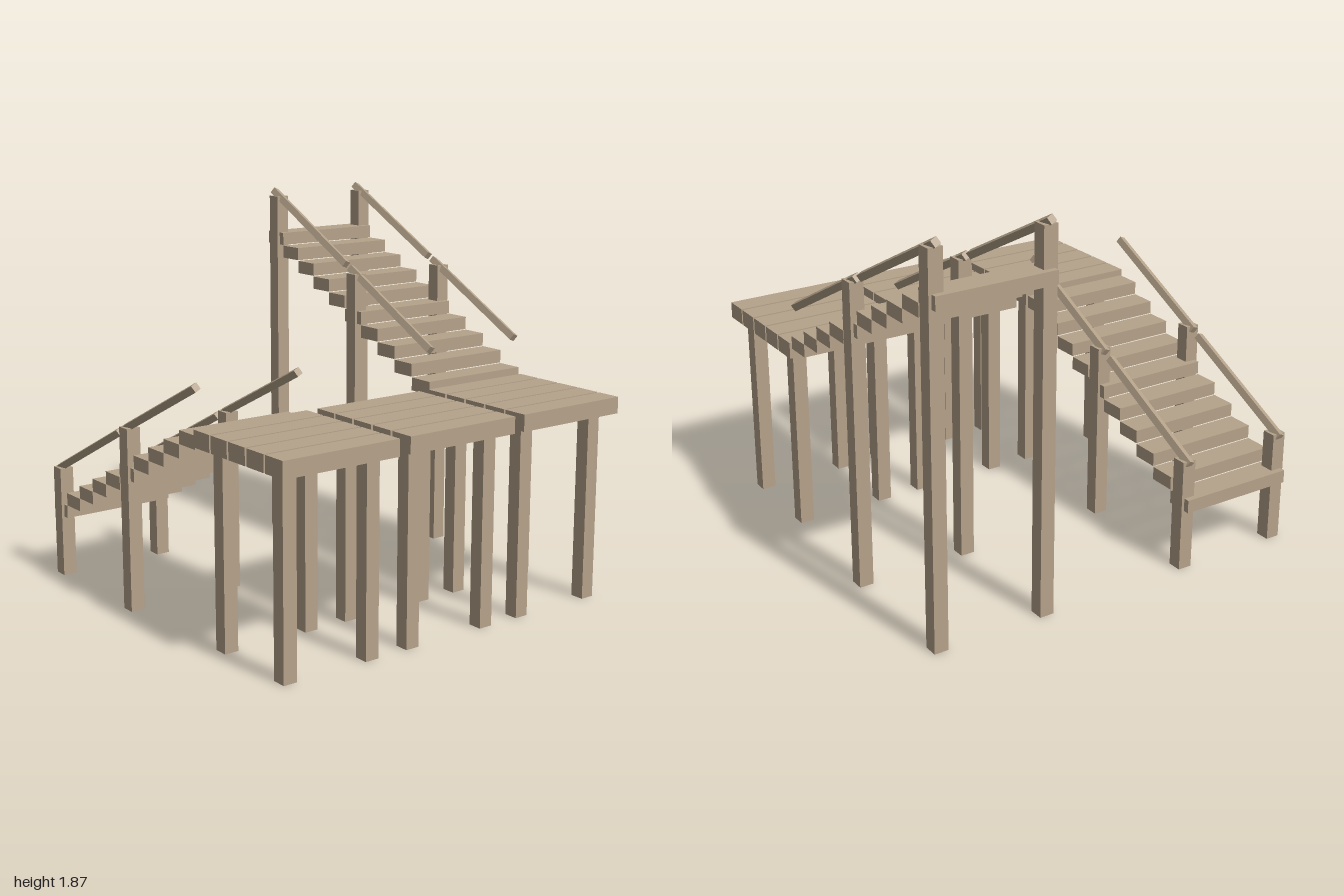
import * as THREE from 'three';

export function createModel() {
  const model = new THREE.Group();
  model.name = 'deckWithStairs';
  const wood = new THREE.MeshStandardMaterial({ color: 0xb5a28a });
  wood.name = 'weathered wood';

  const addBox = (parent, name, size, position) => {
    const mesh = new THREE.Mesh(new THREE.BoxGeometry(...size), wood);
    mesh.name = name;
    mesh.position.set(...position);
    parent.add(mesh);
    return mesh;
  };

  // Upright standing on the ground
  const addPost = (parent, name, x, z, height) =>
    addBox(parent, name, [0.07, height, 0.07], [x, height / 2, z]);

  // Deck section: five planks on four posts
  const addDeck = (name, x) => {
    const deck = new THREE.Group();
    deck.name = name;
    for (let i = 0; i < 5; i++) {
      addBox(deck, 'deckPlank', [0.61, 0.08, 0.123], [x, 0.96, 0.9385 - i * 0.1347]);
    }
    for (const side of [-1, 1]) {
      for (const z of [0.893, 0.45]) addPost(deck, 'deckPost', x + side * 0.22, z, 0.92);
    }
    model.add(deck);
  };
  addDeck('rightDeck', -0.67);
  addDeck('middleDeck', 0);
  addDeck('leftDeck', 0.667);

  // Handrail between two [z, y] points, with the square section rolled
  const addRail = (parent, x, [z0, y0], [z1, y1], roll) => {
    const length = Math.hypot(z1 - z0, y1 - y0);
    const rail = addBox(parent, 'handrail', [0.034, 0.034, length], [x, (y0 + y1) / 2, (z0 + z1) / 2]);
    rail.rotation.set(Math.atan2(y1 - y0, z0 - z1), 0, roll);
  };

  // Flight of ten treads with two pairs of posts and split handrails
  const addStairs = (name, x, firstTop, rise, posts, rails, roll) => {
    const stairs = new THREE.Group();
    stairs.name = name;
    for (let i = 0; i < 10; i++) {
      addBox(stairs, 'tread', [0.59, 0.064, 0.131],
        [x, firstTop - 0.032 + i * rise, 0.268 - i * 0.1335]);
    }
    for (const side of [-1, 1]) {
      for (const [z, height] of posts) addPost(stairs, 'stairPost', x + side * 0.274, z, height);
      for (const [from, to] of rails) addRail(stairs, x + side * 0.274, from, to, roll);
    }
    model.add(stairs);
  };

  addStairs('stairsUp', 0.667, 1.035, 0.0671,
    [[-0.265, 1.49], [-0.935, 1.83]],
    [[[0.315, 1.185], [-0.31, 1.512]], [[-0.348, 1.527], [-0.975, 1.853]]],
    -0.43);
  addStairs('stairsDown', -0.67, 0.97, -0.0667,
    [[-0.265, 0.89], [-0.935, 0.555]],
    [[[0.315, 1.178], [-0.31, 0.872]], [[-0.348, 0.852], [-0.975, 0.54]]],
    0.43);

  return model;
}
